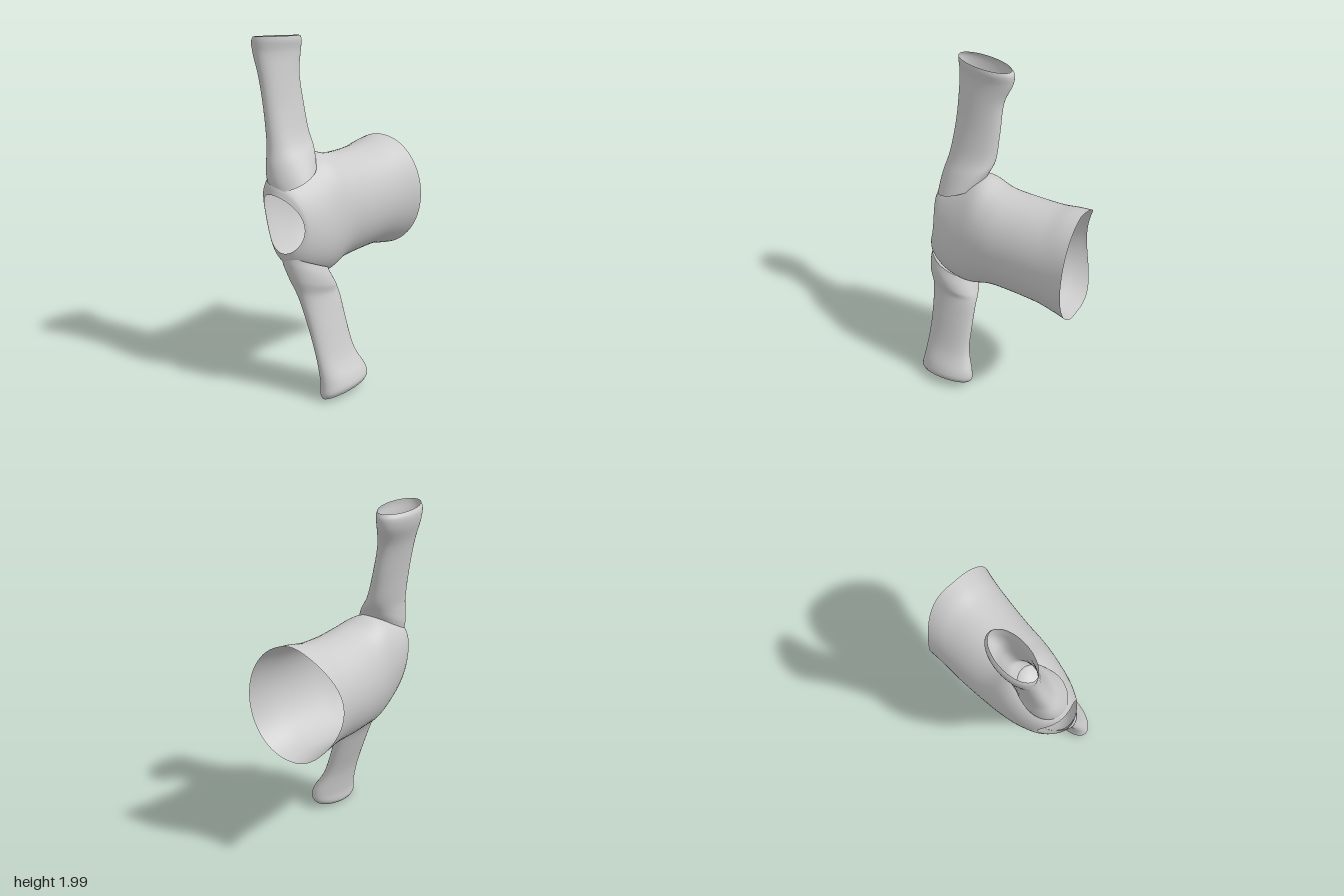
import * as THREE from 'three';

const material = new THREE.MeshStandardMaterial({ color: 0xcccccc, side: THREE.DoubleSide });
const { smoothstep } = THREE.MathUtils;

// Smooth open tube through oval stations [t, uMin, uMax, vMin, vMax];
// place(t, u, v, angle) turns each sample into a point.
function loft(name, stations, place, rings = 56, sides = 48) {
  const spline = (pick) => new THREE.CatmullRomCurve3(
    stations.map((s) => new THREE.Vector3(...pick(s))), false, 'centripetal');
  const lows = spline((s) => [s[0], s[1], s[3]]);
  const highs = spline((s) => [s[0], s[2], s[4]]);
  const positions = [], index = [];
  for (let i = 0; i <= rings; i++) {
    const a = lows.getPoint(i / rings), b = highs.getPoint(i / rings);
    const t = (a.x + b.x) / 2;
    for (let j = 0; j < sides; j++) {
      const angle = (j / sides) * Math.PI * 2;
      const u = (a.y + b.y) / 2 + ((b.y - a.y) / 2) * Math.cos(angle);
      const v = (a.z + b.z) / 2 + ((b.z - a.z) / 2) * Math.sin(angle);
      positions.push(...place(t, u, v, angle));
      if (i < rings) {
        const k = (j + 1) % sides, p = i * sides, q = p + sides;
        index.push(p + j, p + k, q + j, p + k, q + k, q + j);
      }
    }
  }
  const geometry = new THREE.BufferGeometry();
  geometry.setAttribute('position', new THREE.Float32BufferAttribute(positions, 3));
  geometry.setIndex(index);
  geometry.computeVertexNormals();
  const mesh = new THREE.Mesh(geometry, material);
  mesh.name = name;
  return mesh;
}

export function createModel() {
  const group = new THREE.Group();
  group.name = 'shirt';

  // Torso: open at the hem (back) and at the neck (front); stations along z
  const torso = [
    [-0.46, -0.345, 0.215, 0.65, 1.335],
    [-0.38, -0.335, 0.203, 0.665, 1.325],
    [-0.28, -0.328, 0.195, 0.685, 1.305],
    [-0.1, -0.315, 0.187, 0.685, 1.3],
    [0.06, -0.293, 0.187, 0.678, 1.315],
    [0.18, -0.276, 0.182, 0.655, 1.345],
    [0.28, -0.255, 0.17, 0.675, 1.32],
    [0.38, -0.225, 0.148, 0.725, 1.27],
    [0.445, -0.195, 0.125, 0.785, 1.215],
    [0.465, -0.172, 0.11, 0.842, 1.16],
  ];
  group.add(loft('torso', torso, (z, x, y, angle) => {
    const c = Math.cos(angle);
    const hem = smoothstep(-z, 0, 0.46) * (c > 0 ? -0.04 * c : -0.11 * c ** 3);
    const neck = -0.032 * Math.cos(2 * angle) * smoothstep(z, 0.25, 0.46);
    // the shoulders lean with the sleeves
    const lean = -0.22 * (y - 1) * smoothstep(z, 0, 0.4);
    return [x + lean, y, z + hem + neck];
  }, 64, 64));

  // Sleeves: stations along y, from the shoulder out to the cuff
  const upperSleeve = [
    [1.18, -0.185, 0.07, 0.2, 0.482],
    [1.24, -0.197, 0.04, 0.175, 0.483],
    [1.31, -0.2, 0.008, 0.158, 0.474],
    [1.4, -0.205, -0.03, 0.148, 0.452],
    [1.6, -0.235, -0.09, 0.143, 0.432],
    [1.78, -0.272, -0.125, 0.138, 0.43],
    [1.9, -0.312, -0.14, 0.098, 0.438],
    [1.96, -0.318, -0.135, 0.092, 0.444],
    [1.985, -0.305, -0.138, 0.105, 0.44],
  ];
  const lowerSleeve = [
    [0.82, -0.1, 0.145, 0.2, 0.482],
    [0.76, -0.075, 0.163, 0.175, 0.485],
    [0.69, -0.038, 0.17, 0.158, 0.477],
    [0.6, 0.01, 0.165, 0.148, 0.452],
    [0.4, 0.082, 0.212, 0.145, 0.43],
    [0.24, 0.135, 0.262, 0.135, 0.428],
    [0.11, 0.16, 0.325, 0.09, 0.436],
    [0.055, 0.163, 0.338, 0.085, 0.444],
    [0.03, 0.178, 0.325, 0.1, 0.436],
  ];
  // Slanted cuff, and a shoulder seam that follows the torso
  const cuff = (y) => smoothstep(Math.abs(y - 1), 0.75, 0.97);
  const seam = (y, z) => (1 - smoothstep(Math.abs(y - 1), 0.18, 0.5)) * (0.48 - z) * 0.42;
  group.add(loft('rightSleeve', upperSleeve, (y, x, z) =>
    [x, y + seam(y, z) + cuff(y) * ((z - 0.27) * 0.07 + (x + 0.22) * 0.08), z]));
  group.add(loft('leftSleeve', lowerSleeve, (y, x, z) =>
    [x, y - seam(y, z) + cuff(y) * ((0.27 - z) * 0.07 + (x - 0.25) * 0.27), z]));

  return group;
}
